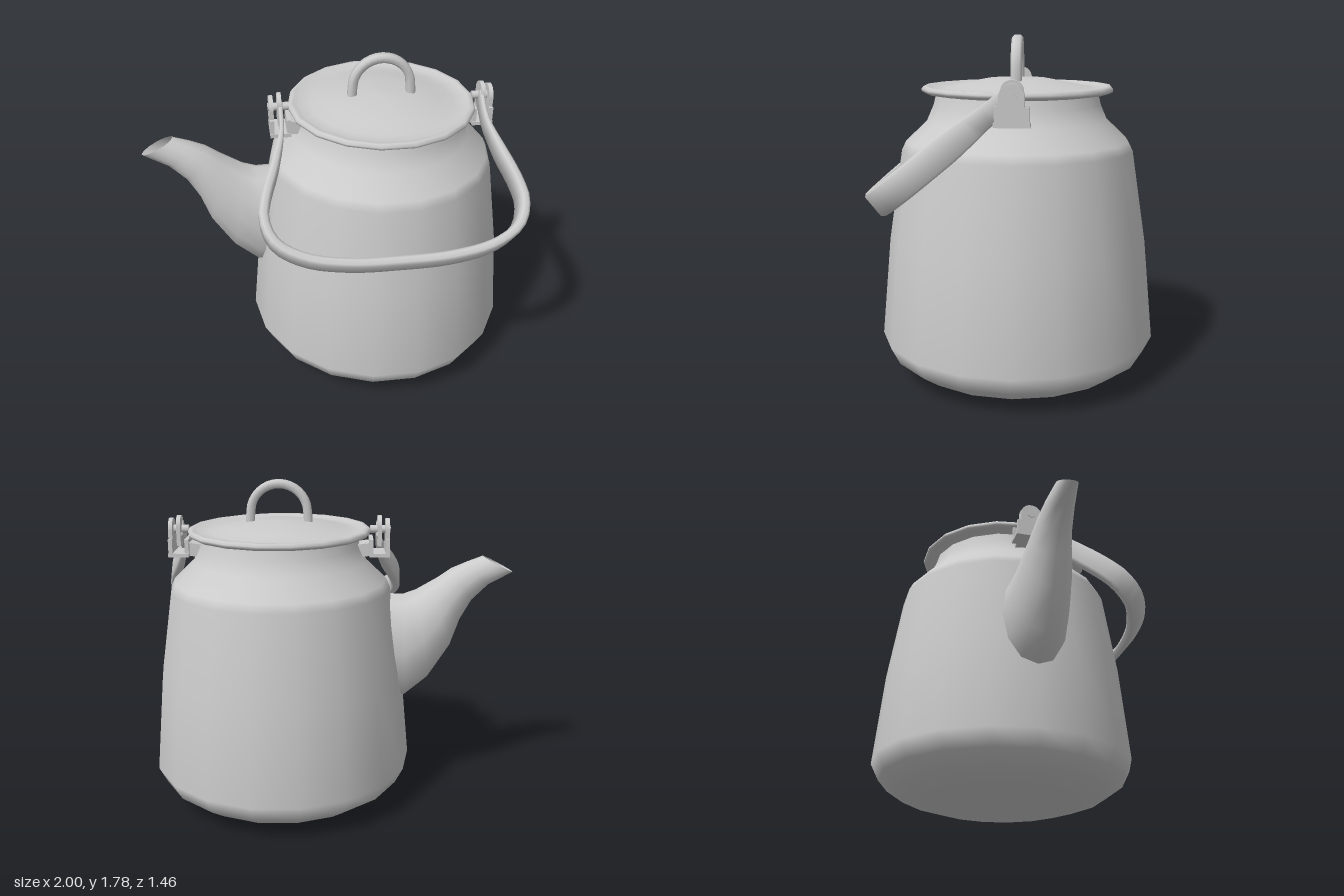
import * as THREE from 'three';
import { toCreasedNormals } from 'three/addons/utils/BufferGeometryUtils.js';

const CX = 0.275, CZ = -0.02; // axis of the pot
const grey = new THREE.MeshStandardMaterial({ color: 0xcccccc });
const greyDouble = new THREE.MeshStandardMaterial({ color: 0xcccccc, side: THREE.DoubleSide });

function add(parent, name, geometry, material = grey) {
  const mesh = new THREE.Mesh(geometry, material);
  mesh.name = name;
  parent.add(mesh);
  return mesh;
}

// Skin over a row of rings, each counter-clockwise about the direction of travel
function loft(rings, capped, crease = 0.9) {
  const n = rings[0].length, pos = [], idx = [];
  rings.forEach(r => r.forEach(p => pos.push(p.x, p.y, p.z)));
  for (let i = 0; i < rings.length - 1; i++)
    for (let j = 0; j < n; j++) {
      const a = i * n + j, b = i * n + (j + 1) % n;
      idx.push(a, b, b + n, a, b + n, a + n);
    }
  if (capped) {
    const last = (rings.length - 1) * n;
    for (let j = 1; j < n - 1; j++) idx.push(0, j + 1, j, last, last + j, last + j + 1);
  }
  const g = new THREE.BufferGeometry();
  g.setAttribute('position', new THREE.Float32BufferAttribute(pos, 3));
  g.setIndex(idx);
  return toCreasedNormals(g, crease);
}

// Sweep a bevelled rectangle along a planar path; size(t) gives [thickness, width]
function sweep(points, normal, size, steps) {
  const curve = new THREE.CatmullRomCurve3(points, false, 'centripetal');
  const rings = [];
  for (let i = 0; i <= steps; i++) {
    const t = i / steps, p = curve.getPointAt(t);
    const side = normal.clone().cross(curve.getTangentAt(t)).normalize();
    const [th, w] = size(t), a = th / 2, b = w / 2, c = Math.min(a, b) * 0.5;
    const section = [[a, c - b], [a, b - c], [a - c, b], [c - a, b],
      [-a, b - c], [-a, c - b], [c - a, -b], [a - c, -b]];
    rings.push(section.map(([u, v]) =>
      p.clone().addScaledVector(side, u).addScaledVector(normal, v)));
  }
  return loft(rings, true);
}

function lathe(profile) {
  const g = new THREE.LatheGeometry(profile.map(p => new THREE.Vector2(...p)), 18, Math.PI / 2);
  return g.translate(CX, 0, CZ);
}

// Spout: elliptical sections between an upper and a lower outline
function spoutGeometry() {
  const sections = [ // upper x, y, lower x, y, half width
    [-0.27, 1.16, -0.29, 0.53, 0.175],
    [-0.40, 1.155, -0.42, 0.56, 0.17],
    [-0.47, 1.18, -0.55, 0.67, 0.15],
    [-0.53, 1.215, -0.67, 0.86, 0.13],
    [-0.59, 1.25, -0.72, 1.01, 0.11],
    [-0.66, 1.30, -0.78, 1.12, 0.092],
    [-0.74, 1.335, -0.87, 1.21, 0.074],
    [-0.83, 1.37, -1.00, 1.28, 0.05]];
  const rings = sections.map(([ux, uy, lx, ly, w]) =>
    Array.from({ length: 12 }, (_, j) => {
      const a = j / 12 * Math.PI * 2, c = Math.cos(a) / 2;
      return new THREE.Vector3((ux + lx) / 2 + c * (ux - lx),
        (uy + ly) / 2 + c * (uy - ly), CZ - Math.sin(a) * w);
    }));
  return loft(rings, false, 1.2);
}

// Carrying handle: a flat band tilted forward and down from the two pivots
function handleGeometry() {
  const u = new THREE.Vector3(0, -0.627, 0.778);
  const normal = new THREE.Vector3(0, 0.778, 0.627);
  const half = [[0.535, 0], [0.54, 0.16], [0.59, 0.34], [0.645, 0.50], [0.665, 0.62],
    [0.62, 0.745], [0.48, 0.835], [0.26, 0.88]];
  const all = [...half.map(([x, s]) => [-x, s]), [0, 0.888],
    ...half.slice().reverse()];
  const points = all.map(([x, s]) =>
    new THREE.Vector3(CX + x, 1.52, CZ).addScaledVector(u, s));
  return sweep(points, normal, t => {
    const k = THREE.MathUtils.smoothstep(Math.min(t, 1 - t), 0.03, 0.15);
    return [0.022 + 0.028 * k, 0.10 + 0.04 * k];
  }, 56);
}

// Arched grip on the lid
function gripGeometry() {
  const points = [new THREE.Vector3(CX - 0.157, 1.53, CZ)];
  for (let i = 0; i <= 10; i++) {
    const a = Math.PI * (1 - i / 10);
    points.push(new THREE.Vector3(CX + 0.153 * Math.cos(a), 1.605 + 0.153 * Math.sin(a), CZ));
  }
  points.push(new THREE.Vector3(CX + 0.157, 1.53, CZ));
  return sweep(points, new THREE.Vector3(0, 0, 1), () => [0.046, 0.056], 22);
}

// Plate with a rounded top, standing in the yz plane
function tabGeometry(halfWidth, bottom, top, thickness) {
  const s = new THREE.Shape();
  s.moveTo(-halfWidth, bottom);
  s.lineTo(halfWidth, bottom);
  s.absarc(0, top - halfWidth, halfWidth, 0, Math.PI, false);
  s.closePath();
  const g = new THREE.ExtrudeGeometry(s, { depth: thickness, bevelEnabled: false, curveSegments: 10 });
  return g.translate(0, 0, -thickness / 2).rotateY(Math.PI / 2);
}

// Bracket holding one handle end; side is +1 or -1
function bracket(side) {
  const g = new THREE.Group();
  g.name = side > 0 ? 'leftBracket' : 'rightBracket';
  g.position.set(CX, 0, CZ);
  const place = (name, geo, x, y) => add(g, name, geo, grey).position.set(side * x, y, 0);
  place('outerPlate', tabGeometry(0.06, 1.38, 1.575, 0.022), 0.583, 0);
  place('handleEnd', tabGeometry(0.055, 1.43, 1.59, 0.022), 0.54, 0);
  place('outerFoot', new THREE.BoxGeometry(0.022, 0.09, 0.16), 0.583, 1.425);
  place('innerPlate', new THREE.BoxGeometry(0.022, 0.09, 0.16), 0.495, 1.425);
  place('floor', new THREE.BoxGeometry(0.11, 0.02, 0.17), 0.54, 1.385);
  place('pivotPin', new THREE.CylinderGeometry(0.022, 0.022, 0.11, 10).rotateZ(Math.PI / 2), 0.545, 1.515);
  const arm = add(g, 'arm', new THREE.BoxGeometry(0.15, 0.07, 0.11));
  arm.position.set(side * 0.43, 1.405, 0);
  arm.rotation.z = side * 0.15;
  return g;
}

export function createModel() {
  const pot = new THREE.Group();
  pot.name = 'kettle';
  // Vessel with rounded foot, tapering wall, shoulder and neck
  add(pot, 'body', lathe([[0, 0], [0.42, 0], [0.58, 0.05], [0.68, 0.12], [0.725, 0.21],
    [0.675, 0.73], [0.602, 1.2], [0.58, 1.245], [0.47, 1.35], [0.435, 1.43], [0.42, 1.49]]), greyDouble);
  // Lid with a rolled rim and a shallow dome
  add(pot, 'lid', lathe([[0.40, 1.46], [0.43, 1.488], [0.475, 1.488], [0.493, 1.498], [0.496, 1.511],
    [0.485, 1.525], [0.465, 1.525], [0.44, 1.512], [0.38, 1.514], [0.30, 1.533],
    [0.16, 1.56], [0, 1.566]]), greyDouble);
  add(pot, 'lidGrip', gripGeometry());
  add(pot, 'spout', spoutGeometry(), greyDouble);
  add(pot, 'handle', handleGeometry());
  pot.add(bracket(1), bracket(-1));
  return pot;
}
